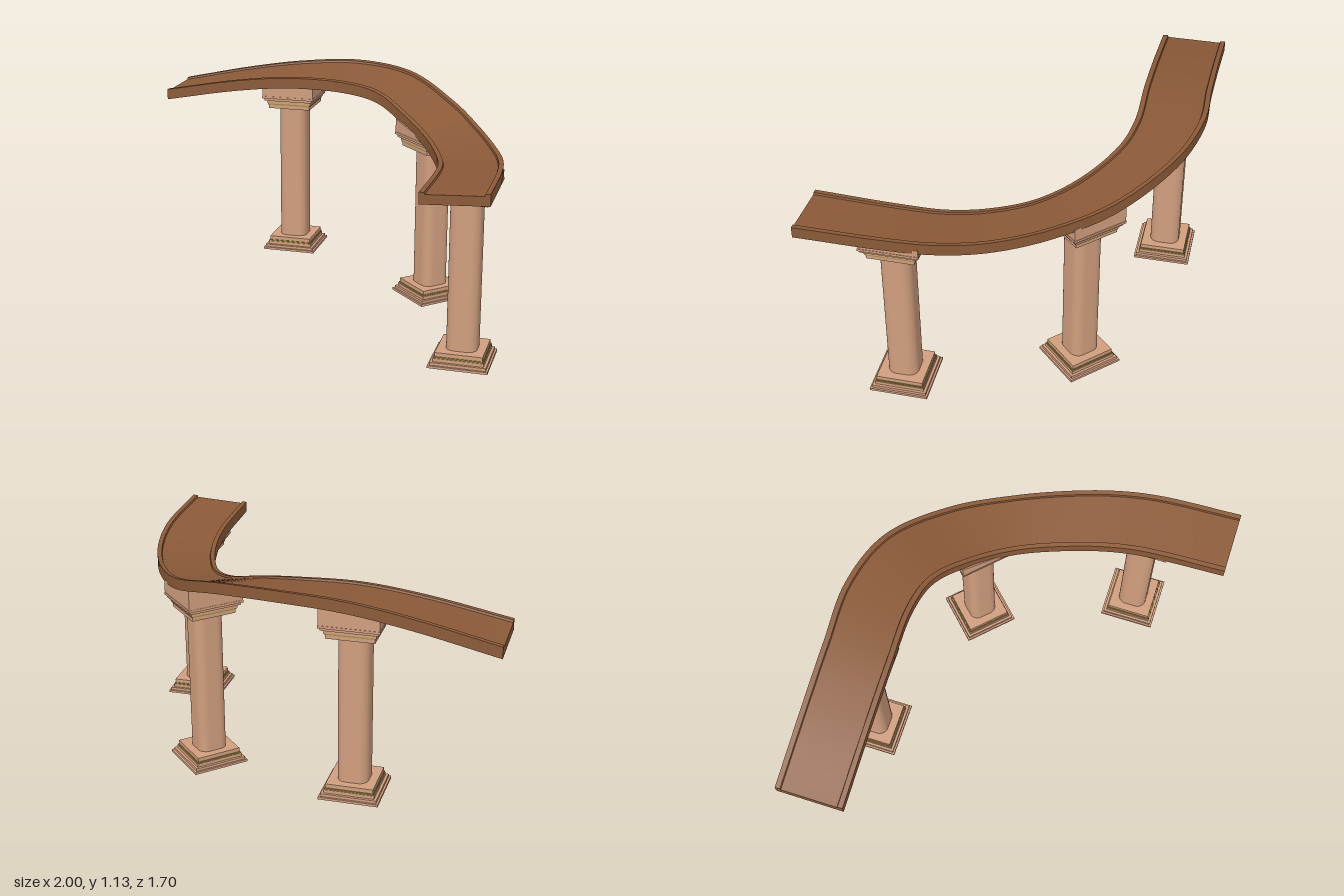
import * as THREE from 'three';
import { toCreasedNormals } from 'three/addons/utils/BufferGeometryUtils.js';

const deckMat = new THREE.MeshStandardMaterial({ color: 0x8b5a38 });
deckMat.name = 'brown deck';
const stoneMat = new THREE.MeshStandardMaterial({ color: 0xd09e7e });
stoneMat.name = 'sandstone';
const goldMat = new THREE.MeshStandardMaterial({ color: 0x9c8c38 });
goldMat.name = 'gold trim';

// Matching stations on the outer and inner top edges of the banked deck
const curve = (pts) => new THREE.CatmullRomCurve3(pts.map((p) => new THREE.Vector3(...p)));
const outer = curve([
  [-1, 0.975, -0.845], [-0.6, 1.062, -0.846], [-0.3, 1.11, -0.848], [0, 1.13, -0.85],
  [0.3, 1.105, -0.765], [0.58, 1.012, -0.535], [0.76, 0.955, -0.27], [0.88, 0.932, -0.02],
  [0.95, 0.936, 0.2], [0.985, 0.95, 0.42], [1, 0.962, 0.843],
]);
const inner = curve([
  [-1, 0.975, -0.515], [-0.6, 1.048, -0.516], [-0.3, 1.08, -0.517], [0, 1.073, -0.518],
  [0.18, 1.045, -0.475], [0.36, 0.972, -0.335], [0.5, 0.922, -0.16], [0.59, 0.903, 0.03],
  [0.65, 0.905, 0.22], [0.68, 0.923, 0.42], [0.69, 0.945, 0.843],
]);

// Deck section: [fraction from outer to inner edge, height], with a low curb on each side
const section = [
  [0, 0], [0, -0.055], [1, -0.055], [1, 0], [0.925, 0], [0.915, -0.01], [0.085, -0.01], [0.075, 0],
];

function deckGeometry(steps = 80) {
  const pos = [], idx = [];
  const add = (i, k) => {
    const [u, h] = section[k % section.length];
    const p = outer.getPoint(i / steps).lerp(inner.getPoint(i / steps), u);
    return pos.push(p.x, p.y + h, p.z) / 3 - 1;
  };
  // One strip per section edge keeps edges crisp and the length smooth
  for (let k = 0; k < section.length; k++) {
    for (let i = 0; i <= steps; i++) {
      const a = add(i, k), b = add(i, k + 1);
      if (i < steps) idx.push(a, a + 2, b, a + 2, b + 2, b);
    }
  }
  // End caps
  const cap = [[0, 1, 6], [0, 6, 7], [1, 2, 5], [1, 5, 6], [2, 3, 5], [3, 4, 5]];
  for (const i of [0, steps]) {
    const v = section.map((_, k) => add(i, k));
    for (const [a, b, c] of cap) idx.push(v[a], i ? v[c] : v[b], i ? v[b] : v[c]);
  }
  const g = new THREE.BufferGeometry();
  g.setAttribute('position', new THREE.Float32BufferAttribute(pos, 3));
  g.setIndex(idx);
  g.computeVertexNormals();
  return g;
}

// Upright shaft with a rounded square section
function shaftGeometry(w, r, height) {
  const a = w / 2, c = a - r, s = new THREE.Shape();
  s.absarc(c, c, r, 0, Math.PI / 2);
  s.absarc(-c, c, r, Math.PI / 2, Math.PI);
  s.absarc(-c, -c, r, Math.PI, Math.PI * 1.5);
  s.absarc(c, -c, r, Math.PI * 1.5, Math.PI * 2);
  const g = new THREE.ExtrudeGeometry(s, { depth: height, bevelEnabled: false, curveSegments: 8 });
  g.rotateX(-Math.PI / 2);
  return toCreasedNormals(g, 0.6);
}

// Stepped moulding: [width, bottom, top, material], mirrored for the capital
const moulding = [
  [0.284, 0, 0.012, stoneMat], [0.265, 0.012, 0.026, stoneMat], [0.24, 0.026, 0.043, stoneMat],
  [0.234, 0.043, 0.05, goldMat], [0.226, 0.05, 0.07, stoneMat],
];
const CAP = 0.87;

function column(name, x, y, z, turn, top, slopeX, slopeZ) {
  const g = new THREE.Group();
  g.name = name;
  const add = (geo, mat, part, py = 0) => {
    const m = new THREE.Mesh(geo, mat);
    m.name = part;
    m.position.y = py;
    g.add(m);
    return m;
  };
  for (const [w, lo, hi, mat] of moulding) {
    const geo = new THREE.BoxGeometry(w, hi - lo, w);
    const mid = (lo + hi) / 2;
    add(geo, mat, mat === goldMat ? 'baseTrim' : 'baseStep', mid);
    add(geo, mat, mat === goldMat ? 'capitalTrim' : 'capitalStep', CAP - mid);
  }
  add(shaftGeometry(0.147, 0.045, CAP - 0.12), stoneMat, 'shaft', 0.06);

  // Bearing block whose top follows the underside of the banked deck
  const geo = new THREE.BoxGeometry(0.28, 1, 0.28);
  const p = geo.attributes.position;
  const c = Math.cos(turn), s = Math.sin(turn);
  for (let i = 0; i < p.count; i++) {
    const wx = p.getX(i) * c + p.getZ(i) * s, wz = p.getZ(i) * c - p.getX(i) * s;
    p.setY(i, p.getY(i) < 0 ? CAP - 0.012 : top - y + wx * slopeX + wz * slopeZ);
  }
  geo.computeVertexNormals();
  add(geo, stoneMat, 'bearingBlock');

  g.position.set(x, y, z);
  g.rotation.y = turn;
  return g;
}

export function createModel() {
  const model = new THREE.Group();
  model.name = 'curvedRamp';
  const deck = new THREE.Mesh(deckGeometry(), deckMat);
  deck.name = 'deck';
  model.add(deck);
  model.add(column('highColumn', -0.32, 0.1, -0.672, 0, 1.053, 0.1, -0.09));
  model.add(column('middleColumn', 0.508, 0, -0.375, Math.PI / 4, 0.934, -0.015, -0.274));
  model.add(column('endColumn', 0.83, 0, 0.414, 0, 0.898, 0.08, 0.03));
  return model;
}
